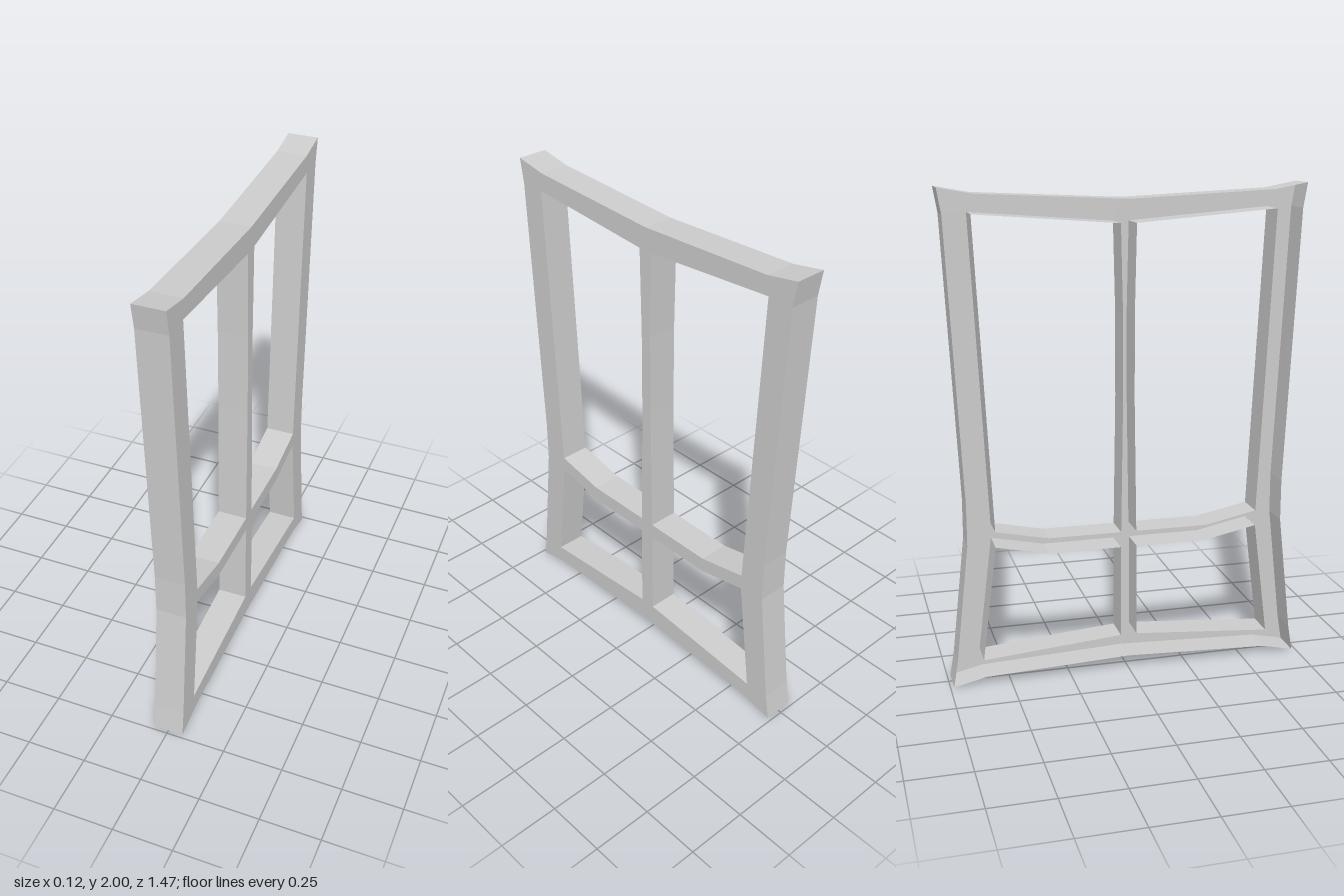
import * as THREE from 'three';

const HALF = 0.0625; // half the frame depth

// Right half of each outline, counter-clockwise; the other half is mirrored
const OUTER = [[0, 0.055], [0.6, 0.03], [0.735, 0], [0.717, 0.11], [0.663, 0.6],
  [0.663, 0.77], [0.718, 1.9], [0.735, 2], [0.6, 1.975], [0, 1.947]];
const UPPER = [[0.032, 0.605], [0.333, 0.605], [0.55, 0.65], [0.61, 1.9], [0.032, 1.855],
  [0.024, 1.5], [0.024, 1.15]];
const LOWER = [[0.034, 0.152], [0.61, 0.105], [0.55, 0.585], [0.333, 0.54], [0.034, 0.54]];

const toVectors = (pts) => pts.map(([a, y]) => new THREE.Vector2(a, y));
const mirror = (pts) => pts.map(([a, y]) => [-a, y]).reverse();

// Band of flat walls along a closed loop, facing right of its direction
function wallGeometry(loop) {
  const pos = [];
  loop.forEach((p, i) => {
    const q = loop[(i + 1) % loop.length];
    pos.push(p.x, p.y, -HALF, q.x, q.y, -HALF, q.x, q.y, HALF);
    pos.push(p.x, p.y, -HALF, q.x, q.y, HALF, p.x, p.y, HALF);
  });
  const geo = new THREE.BufferGeometry();
  geo.setAttribute('position', new THREE.Float32BufferAttribute(pos, 3));
  geo.computeVertexNormals();
  return geo;
}

export function createModel() {
  const group = new THREE.Group();
  group.name = 'windowFrame';
  const material = new THREE.MeshStandardMaterial({
    color: 0xcccccc, flatShading: true, side: THREE.DoubleSide,
  });
  const add = (geo, name) => {
    const mesh = new THREE.Mesh(geo.rotateY(Math.PI / 2), material);
    mesh.name = name;
    group.add(mesh);
  };

  const outer = toVectors([...OUTER, ...mirror(OUTER.slice(1, -1))]);
  const panes = {
    upperRight: UPPER, upperLeft: mirror(UPPER), lowerRight: LOWER, lowerLeft: mirror(LOWER),
  };

  // Face plate with four pane openings; the opposite side stays open
  const shape = new THREE.Shape(outer);
  for (const pts of Object.values(panes)) shape.holes.push(new THREE.Path(toVectors(pts)));
  add(new THREE.ShapeGeometry(shape).translate(0, 0, HALF), 'facePlate');

  // Outer rim and the walls lining each opening
  add(wallGeometry(outer), 'outerRim');
  for (const [name, pts] of Object.entries(panes)) {
    add(wallGeometry(toVectors(pts).reverse()), name + 'PaneWall');
  }
  return group;
}
